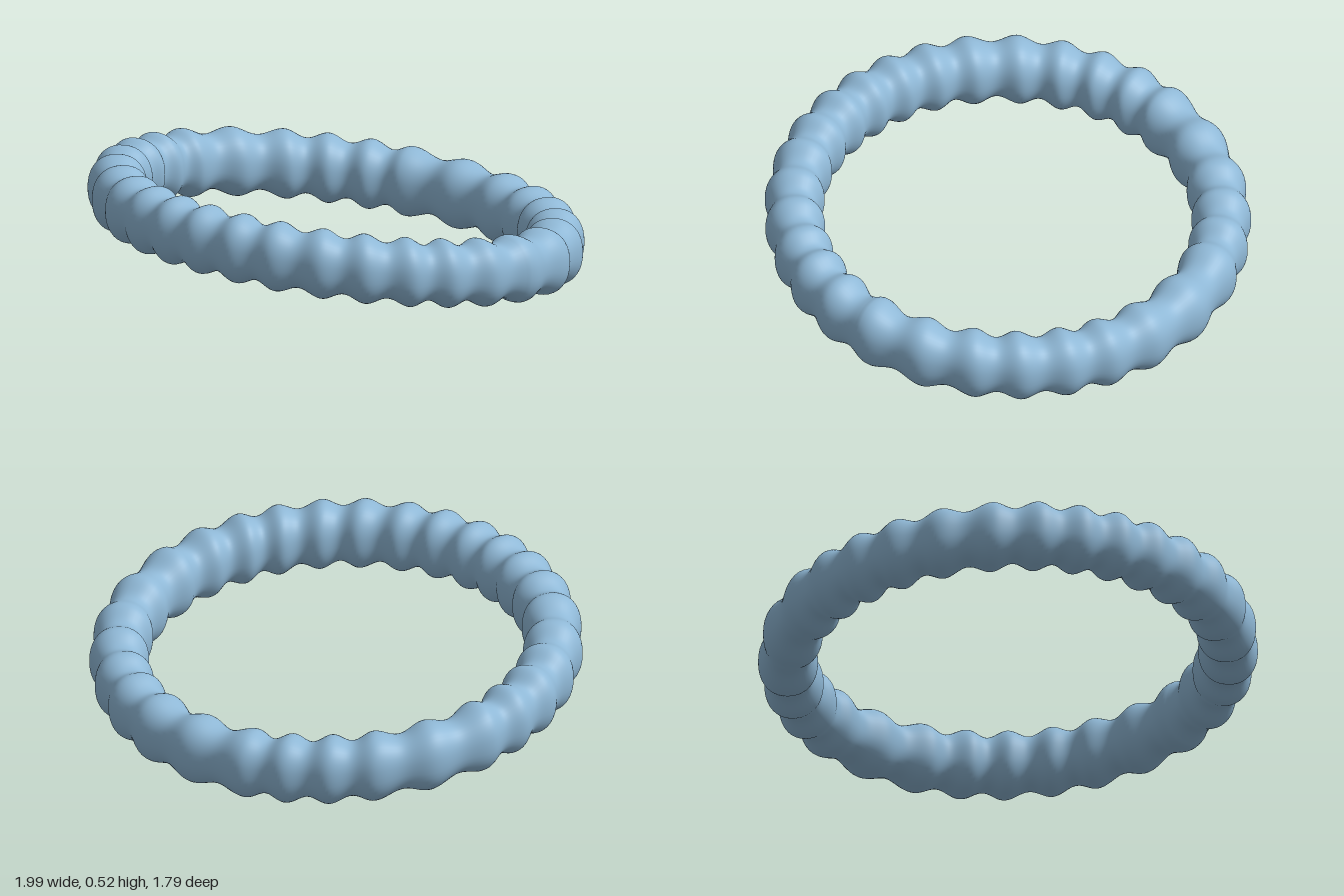
import * as THREE from 'three';

// Angles (degrees) of the gathered ridges around the ring; spacing is irregular
const RIDGES = [-2.6, 10.3, 21.9, 32.3, 43.8, 54.8, 66.5, 77, 87.7, 97.6, 107.8, 118.5, 129.9, 143, 154.9,
  165.9, 176.8, 187.7, 203.3, 217.9, 229.3, 240.3, 251, 266.5, 281.6, 294, 305.1, 317.2, 329, 342.6];

// 1 on a ridge, -1 in the valley halfway to the next one
function ridgeWave(deg) {
  const d = deg < RIDGES[0] ? deg + 360 : deg;
  let i = RIDGES.length - 1;
  while (i > 0 && RIDGES[i] > d) i--;
  const a = RIDGES[i];
  const b = i + 1 < RIDGES.length ? RIDGES[i + 1] : RIDGES[0] + 360;
  return Math.cos((2 * Math.PI * (d - a)) / (b - a));
}

// Slightly squared-off circle coordinate
const soften = (v) => Math.sign(v) * Math.abs(v) ** 0.9;

// Closed, rippled tube swept round a tilted ellipse
function ringGeometry(around = 600, section = 40) {
  const RX = 0.883, RZ = 0.782, positions = [], index = [];
  for (let i = 0; i < around; i++) {
    const t = (i / around) * 2 * Math.PI;
    const wave = ridgeWave((i / around) * 360);
    const normal = new THREE.Vector2(Math.cos(t) / RX, Math.sin(t) / RZ).normalize();
    const width = 0.104 + 0.011 * wave;
    const height = 0.121 + 0.014 * wave;
    for (let j = 0; j < section; j++) {
      const s = (j / section) * 2 * Math.PI;
      const out = width * soften(Math.cos(s));
      const z = RZ * Math.sin(t);
      positions.push(
        RX * Math.cos(t) + normal.x * out,
        0.272 + 0.163 * z + height * soften(Math.sin(s)),
        z + normal.y * out
      );
      const ni = (i + 1) % around, nj = (j + 1) % section;
      const a = i * section + j, b = i * section + nj;
      const c = ni * section + j, d = ni * section + nj;
      index.push(a, b, c, b, d, c);
    }
  }
  const geometry = new THREE.BufferGeometry();
  geometry.setAttribute('position', new THREE.Float32BufferAttribute(positions, 3));
  geometry.setIndex(index);
  geometry.computeBoundingBox();
  geometry.translate(0, -geometry.boundingBox.min.y, 0);
  geometry.computeVertexNormals();
  return geometry;
}

export function createModel() {
  const group = new THREE.Group();
  group.name = 'gatheredRing';
  const material = new THREE.MeshStandardMaterial({ color: 0x8fb8d6 });
  material.name = 'light blue fabric';
  const ring = new THREE.Mesh(ringGeometry(), material);
  ring.name = 'ruffledBand';
  group.add(ring);
  return group;
}
